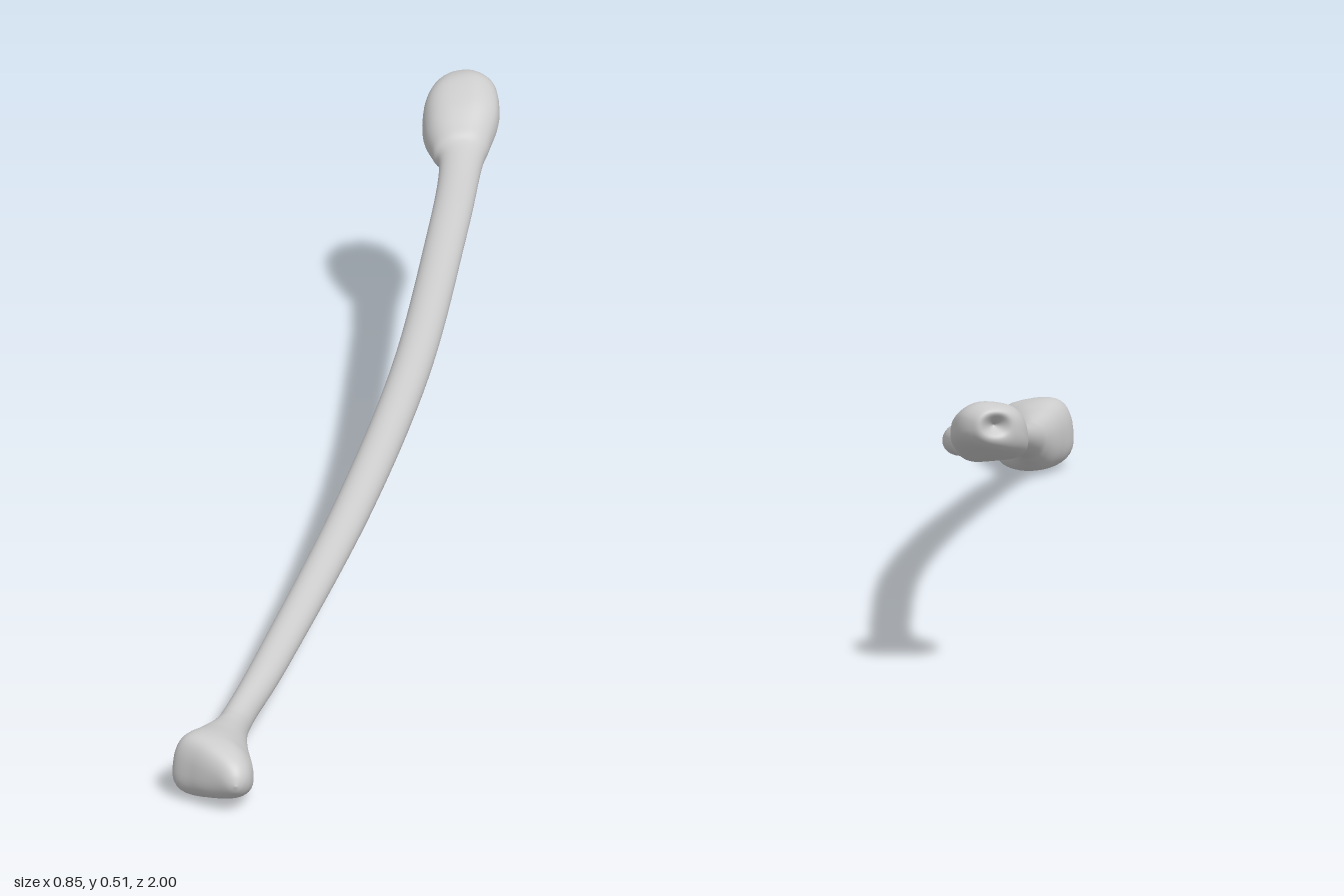
import * as THREE from 'three';

// Cross-sections along z: [z, centreX, centreY, radiusX, radiusY, knobbiness]
const sections = [
  // upper head, with a shallow hollow in its end
  [-0.975, 0.366, 0.486, 0.001, 0.001, 0],
  [-0.997, 0.368, 0.488, 0.028, 0.023, 0.3],
  [-0.985, 0.362, 0.482, 0.05, 0.043, 0.7],
  [-0.95, 0.357, 0.474, 0.067, 0.056, 1],
  [-0.9, 0.352, 0.455, 0.068, 0.053, 1],
  [-0.85, 0.345, 0.432, 0.052, 0.04, 0.5],
  [-0.8, 0.337, 0.415, 0.038, 0.029, 0],
  // gently bowed shaft
  [-0.6, 0.283, 0.38, 0.036, 0.026, 0],
  [-0.2, 0.159, 0.303, 0.036, 0.03, 0],
  [0.2, -0.006, 0.221, 0.036, 0.029, 0],
  [0.6, -0.203, 0.131, 0.033, 0.027, 0],
  [0.75, -0.285, 0.095, 0.03, 0.029, 0],
  // lower head, tapering to a blunt off-centre tip
  [0.8, -0.313, 0.081, 0.035, 0.039, 0.1],
  [0.85, -0.338, 0.071, 0.054, 0.057, 0.5],
  [0.9, -0.357, 0.071, 0.072, 0.067, 1],
  [0.94, -0.344, 0.073, 0.056, 0.057, 0.9],
  [0.975, -0.331, 0.073, 0.033, 0.037, 0.4],
  [0.993, -0.328, 0.072, 0.016, 0.018, 0],
  [1, -0.328, 0.07, 0.001, 0.001, 0],
];

// Smooth curve through one column of the section list
function sample(column, t) {
  const last = sections.length - 1;
  const i = Math.min(Math.floor(t * last), last - 1);
  const f = t * last - i;
  const at = (k) => sections[THREE.MathUtils.clamp(k, 0, last)][column];
  const m0 = (at(i + 1) - at(i - 1)) / 2;
  const m1 = (at(i + 2) - at(i)) / 2;
  const f2 = f * f, f3 = f2 * f;
  return (2 * f3 - 3 * f2 + 1) * at(i) + (f3 - 2 * f2 + f) * m0
    + (3 * f2 - 2 * f3) * at(i + 1) + (f3 - f2) * m1;
}

function loft(rings, sides) {
  const positions = [], index = [];
  for (let j = 0; j <= rings; j++) {
    const [z, cx, cy, rx, ry, knob] =
      sections[0].map((_, column) => sample(column, j / rings));
    // the heads are squarer, faintly three-lobed and tilted; the shaft is oval
    const skew = knob * (z < 0 ? 0.25 : -0.12);
    const power = 2 / (2 + 0.6 * knob);
    const round = (v) => Math.sign(v) * Math.abs(v) ** power;
    for (let i = 0; i < sides; i++) {
      const a = (i / sides) * Math.PI * 2;
      const r = 1 + 0.05 * knob * (Math.cos(3 * a + 1) - 0.5);
      const c = round(Math.cos(a)) * r, s = round(Math.sin(a)) * r;
      positions.push(
        cx + rx * c,
        cy + ry * (s * (1 - Math.abs(skew) * 0.6) + skew * c),
        THREE.MathUtils.clamp(z, -1, 1),
      );
      if (j < rings) {
        const p = j * sides + i, q = j * sides + ((i + 1) % sides);
        index.push(p, q, p + sides, q, q + sides, p + sides);
      }
    }
  }
  const geometry = new THREE.BufferGeometry();
  geometry.setAttribute('position', new THREE.Float32BufferAttribute(positions, 3));
  geometry.setIndex(index);
  geometry.computeVertexNormals();
  return geometry;
}

export function createModel() {
  const group = new THREE.Group();
  group.name = 'longBone';
  // One continuous surface: upper head, shaft and lower head
  const bone = new THREE.Mesh(
    loft((sections.length - 1) * 8, 40),
    new THREE.MeshStandardMaterial({ color: 0xcccccc }),
  );
  bone.name = 'boneShaftAndHeads';
  group.add(bone);
  return group;
}
